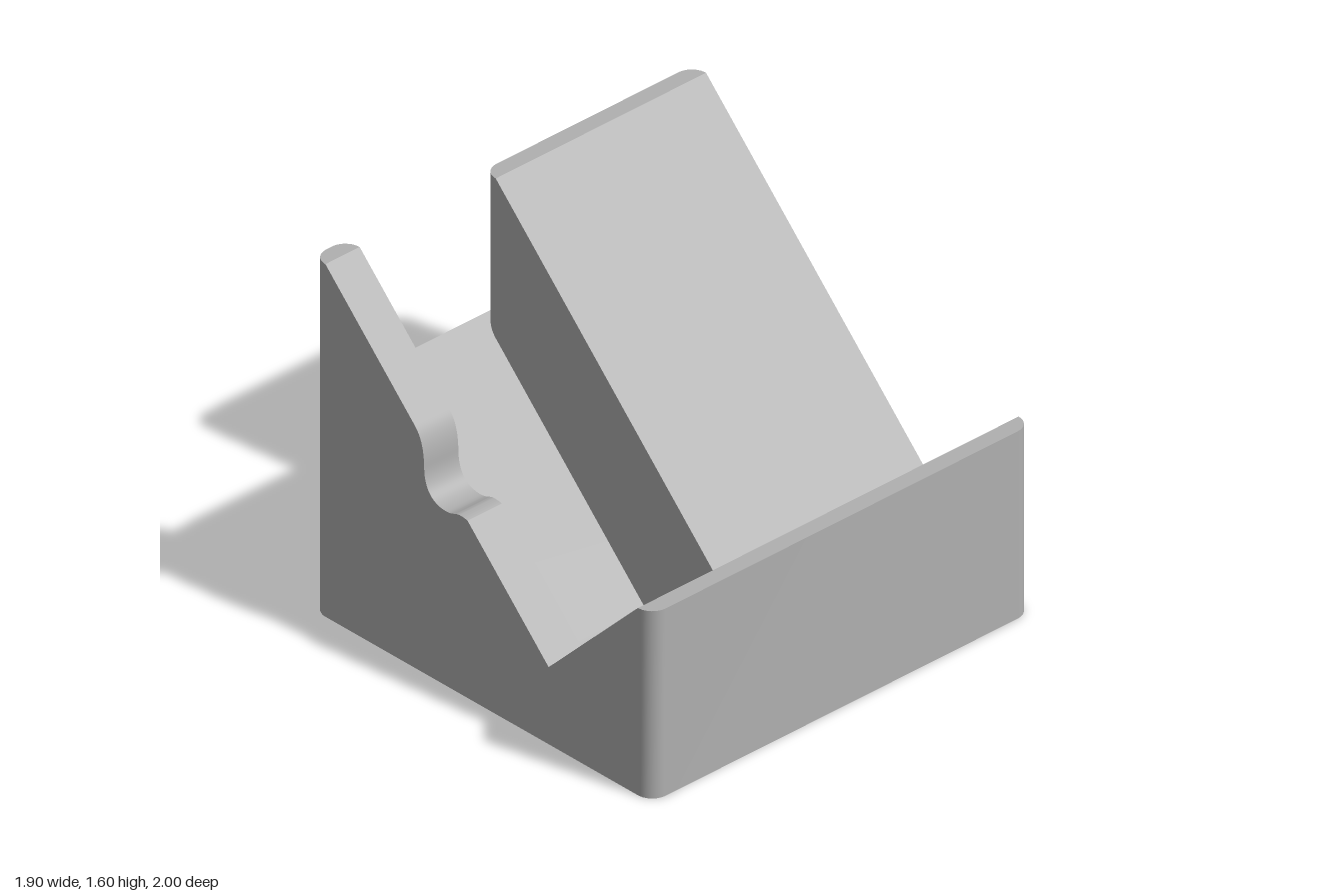
import * as THREE from 'three';
import { toCreasedNormals } from 'three/addons/utils/BufferGeometryUtils.js';

const R = 0.075, HALF_X = 0.95, STEPS = 10;

// Height at x on a polyline of [x, y] points
function heightAt(points, x) {
  for (let i = 1; i < points.length; i++) {
    const [x0, y0] = points[i - 1], [x1, y1] = points[i];
    if (x <= x1) return y0 + (y1 - y0) * (x - x0) / (x1 - x0);
  }
  return points[points.length - 1][1];
}

// How far a rounded vertical corner pulls the side wall in at x
function cornerInset(x) {
  const d = Math.abs(x) - (HALF_X - R);
  return d <= 0 ? 0 : R - Math.sqrt(Math.max(0, R * R - d * d));
}

// Solid between two height profiles, as rectangular cross-sections swept along x
function sweptSolid(bottom, top, zMin, zMax) {
  const end = top[top.length - 1][0];
  const xs = [...bottom, ...top].map(p => p[0]);
  for (let i = 0; i <= STEPS; i++) {
    const x = HALF_X - R + R * Math.sin(i / STEPS * Math.PI / 2);
    xs.push(x, -x);
  }
  const stations = xs.filter(x => x <= end + 1e-6).sort((a, b) => a - b)
    .filter((x, i, all) => i === 0 || x - all[i - 1] > 1e-5);
  const loops = stations.map(x => {
    const inset = cornerInset(x), y0 = heightAt(bottom, x), y1 = heightAt(top, x);
    const a = zMin + inset, b = zMax - inset;
    return [[x, y0, a], [x, y0, b], [x, y1, b], [x, y1, a]].map(p => new THREE.Vector3(...p));
  });

  const positions = [];
  const tri = (a, b, c) => {
    if (new THREE.Triangle(a, b, c).getArea() > 1e-9) {
      for (const v of [a, b, c]) positions.push(v.x, v.y, v.z);
    }
  };
  const quad = (a, b, c, d) => { tri(a, b, c); tri(a, c, d); };
  for (let i = 1; i < loops.length; i++) {
    const p = loops[i - 1], q = loops[i];
    for (let k = 0; k < 4; k++) {
      const n = (k + 1) % 4;
      quad(p[k], q[k], q[n], p[n]);
    }
  }
  quad(...loops[0]);
  quad(...[...loops[loops.length - 1]].reverse());

  const geometry = new THREE.BufferGeometry();
  geometry.setAttribute('position', new THREE.Float32BufferAttribute(positions, 3));
  return toCreasedNormals(geometry, 0.4);
}

export function createModel() {
  const group = new THREE.Group();
  const grey = new THREE.MeshStandardMaterial({ color: 0xb0b0b0 });
  grey.name = 'grey';
  const add = (name, geometry) => {
    const mesh = new THREE.Mesh(geometry, grey);
    mesh.name = name;
    group.add(mesh);
  };

  // Deep V with a rounded valley, the floor of the slot
  const valleyX = 0.0125, valleyY = -0.0125 + R * Math.SQRT2;
  const floor = [[-HALF_X, HALF_X]];
  for (let i = 0; i <= STEPS; i++) {
    const a = (i / STEPS - 0.5) * Math.PI / 2;
    floor.push([valleyX + R * Math.sin(a), valleyY - R * Math.cos(a)]);
  }
  const base = [...floor, [0.875, 0.85], [HALF_X, 0.85]];

  // Upper sloping support, ending where it meets the front lip slope
  const slopeStart = [[-HALF_X, 1.6], [-0.875, 1.6]];
  const slopeEnd = [0.375, 0.35];

  // Scooped cable notch in the narrow support
  const notch = new THREE.Path();
  notch.moveTo(-0.374, 1.099);
  notch.bezierCurveTo(-0.335, 1.06, -0.323, 1.0, -0.322, 0.93);
  notch.bezierCurveTo(-0.321, 0.845, -0.28, 0.791, -0.2, 0.791);
  notch.bezierCurveTo(-0.16, 0.791, -0.15, 0.809, -0.12, 0.809);
  notch.bezierCurveTo(-0.105, 0.809, -0.09, 0.808, -0.079, 0.804);
  const notchPoints = notch.getPoints(12).map(p => [p.x, p.y]);

  const floorUnder = [...floor, slopeEnd];
  add('base', sweptSolid([[-HALF_X, 0], [HALF_X, 0]], base, -1, 1));
  add('wideSupport', sweptSolid(floorUnder, [...slopeStart, slopeEnd], -1, 0.105));
  add('narrowSupport', sweptSolid(floorUnder, [...slopeStart, ...notchPoints, slopeEnd], 0.82, 1));
  return group;
}
